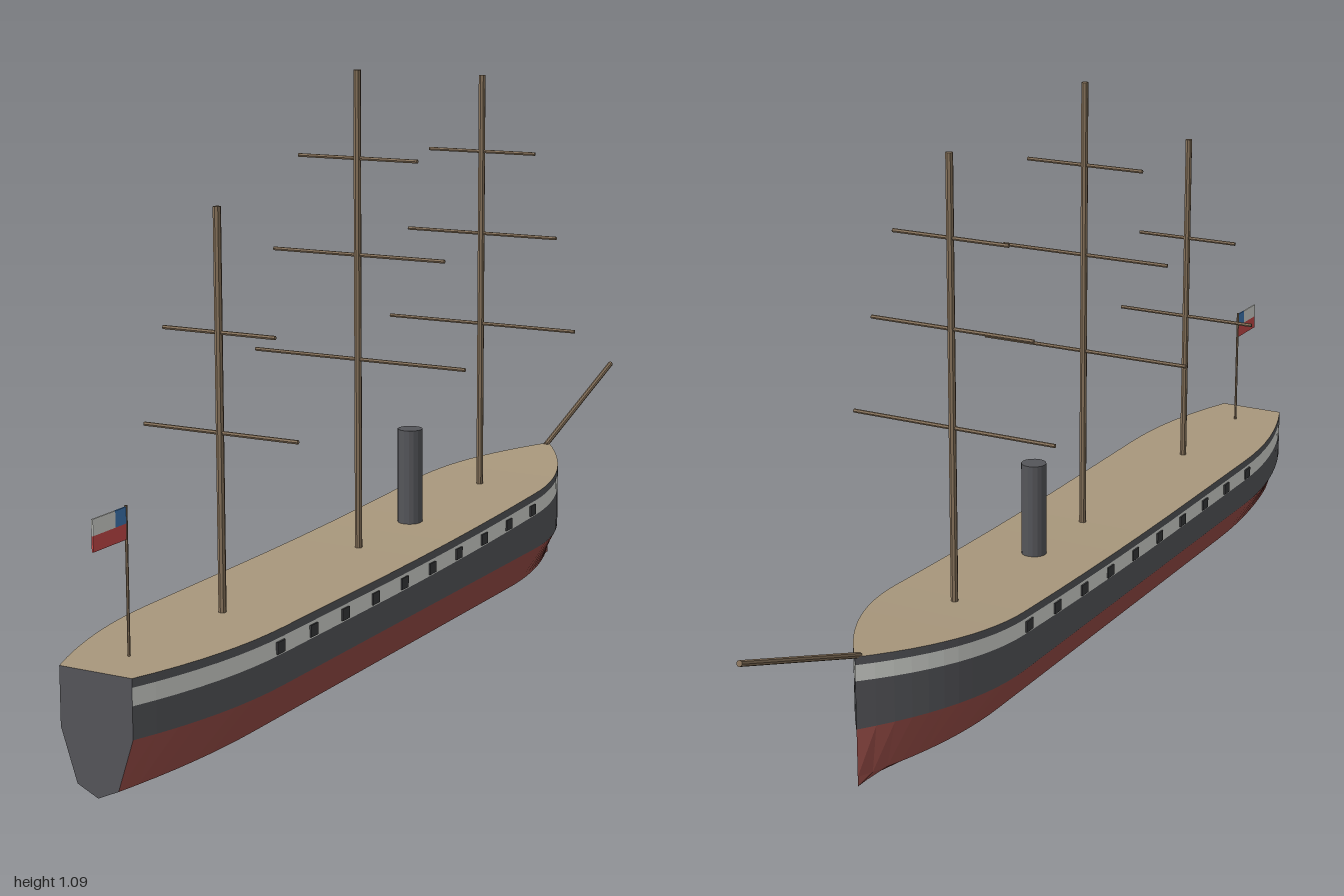
import * as THREE from 'three';

const BOW = -0.67, STERN = 1, BEAM = 0.135;
const mat = (color) => new THREE.MeshStandardMaterial({ color, flatShading: true });
const wood = mat(0x85715a), deckWood = mat(0xa8977c), red = mat(0x9c4f49);
const iron = mat(0x55565a), dark = mat(0x38393b), pale = mat(0xd6d8d3), blue = mat(0x3f78b5);
const flagRed = mat(0xc94a4a), transomGrey = mat(0x55555a);

// Hull half-width and deck height along the length
function halfWidth(z) {
  if (z < -0.32) return BEAM * (1 - ((-0.32 - z) / 0.35) ** 2);
  if (z > 0.66) return BEAM - 0.066 * ((z - 0.66) / 0.34) ** 2;
  return BEAM;
}
const sheer = (z) => 0.21 + 0.035 * Math.max(0, (0.35 - z) / 1.02) ** 2;

// Cross-section lines, from keel to rail
const lines = [
  () => [0, 0.002],
  (z) => [halfWidth(z) * 0.57, 0.02],
  (z) => [halfWidth(z), 0.11],
  (z) => [halfWidth(z), sheer(z) - 0.045],
  (z) => [halfWidth(z), sheer(z) - 0.015],
  (z) => [halfWidth(z), sheer(z)],
];

const stations = [];
for (let i = 0; i <= 12; i++) stations.push(BOW + (0.35 * i) / 12);
for (let i = 1; i <= 8; i++) stations.push(-0.32 + (0.98 * i) / 8);
for (let i = 1; i <= 8; i++) stations.push(0.66 + (0.34 * i) / 8);

// Surface between two lines running bow to stern
function strip(lower, upper) {
  const pos = [], index = [];
  stations.forEach((z, i) => {
    pos.push(...lower(z), z, ...upper(z), z);
    const k = i * 2;
    if (i < stations.length - 1) index.push(k, k + 1, k + 2, k + 1, k + 3, k + 2);
  });
  const g = new THREE.BufferGeometry();
  g.setAttribute('position', new THREE.Float32BufferAttribute(pos, 3));
  g.setIndex(index);
  const flat = g.toNonIndexed();
  flat.computeVertexNormals();
  return flat;
}
const mirror = (line) => (z) => { const [x, y] = line(z); return [-x, y]; };

export function createModel() {
  const ship = new THREE.Group();
  ship.name = 'sailingSteamship';

  function add(name, geometry, material, parent = ship) {
    const m = new THREE.Mesh(geometry, material);
    m.name = name;
    parent.add(m);
    return m;
  }
  function box(name, size, at, material) {
    add(name, new THREE.BoxGeometry(...size), material).position.set(...at);
  }
  // Round pole between two points
  function pole(name, a, b, r, material, sides = 8, parent = ship) {
    const p = new THREE.Vector3(...a), q = new THREE.Vector3(...b);
    const m = add(name, new THREE.CylinderGeometry(r, r, p.distanceTo(q), sides), material, parent);
    m.position.copy(p).lerp(q, 0.5);
    m.quaternion.setFromUnitVectors(new THREE.Vector3(0, 1, 0), q.sub(p).normalize());
    return m;
  }

  // Hull bands on both sides
  const bands = [['keelBottom', red], ['lowerHull', red], ['upperHull', iron],
    ['gunStripe', pale], ['rail', iron]];
  bands.forEach(([name, material], i) => {
    add(name + 'Left', strip(lines[i], lines[i + 1]), material);
    add(name + 'Right', strip(mirror(lines[i + 1]), mirror(lines[i])), material);
  });

  // Deck and transom
  add('deck', strip(lines[5], mirror(lines[5])), deckWood);
  const right = lines.map((l) => new THREE.Vector2(...l(STERN)));
  const left = right.slice(1).reverse().map((p) => new THREE.Vector2(-p.x, p.y));
  add('transom', new THREE.ShapeGeometry(new THREE.Shape([...right, ...left])), transomGrey)
    .position.z = STERN;

  // Gun ports
  for (let i = 0; i < 10; i++) {
    const z = 0.668 - i * 0.1078;
    for (const side of [-1, 1]) {
      box('gunPort', [0.008, 0.021, 0.024], [side * (halfWidth(z) - 0.001), sheer(z) - 0.031, z], dark);
    }
  }

  // Masts with their yards as [height, half length]
  const masts = [
    ['foremast', -0.337, 1.055, [[0.557, 0.207], [0.74, 0.165], [0.904, 0.117]]],
    ['mainmast', 0.165, 1.095, [[0.567, 0.22], [0.76, 0.178], [0.936, 0.123]]],
    ['mizzenmast', 0.633, 0.9, [[0.52, 0.152], [0.69, 0.11]]],
  ];
  for (const [name, z, top, yards] of masts) {
    const group = new THREE.Group();
    group.name = name;
    ship.add(group);
    pole('mast', [0, sheer(z) - 0.01, z], [0, top, z], 0.007, wood, 8, group);
    for (const [y, h] of yards) pole('yard', [-h, y, z], [h, y, z], 0.0037, wood, 6, group);
  }

  // Bowsprit and funnel
  pole('bowsprit', [0, 0.243, -0.655], [0, 0.363, -0.998], 0.0055, wood);
  pole('funnel', [0, 0.2, -0.037], [0, 0.398, -0.037], 0.024, iron, 16);

  // Ensign at the stern
  pole('flagpole', [0, 0.2, 0.908], [0, 0.457, 0.908], 0.0025, wood, 6);
  box('flagLowerStripe', [0.003, 0.026, 0.09], [0, 0.415, 0.954], flagRed);
  box('flagUpperStripe', [0.003, 0.027, 0.06], [0, 0.4415, 0.969], pale);
  box('flagCanton', [0.003, 0.027, 0.03], [0, 0.4415, 0.924], blue);

  return ship;
}
